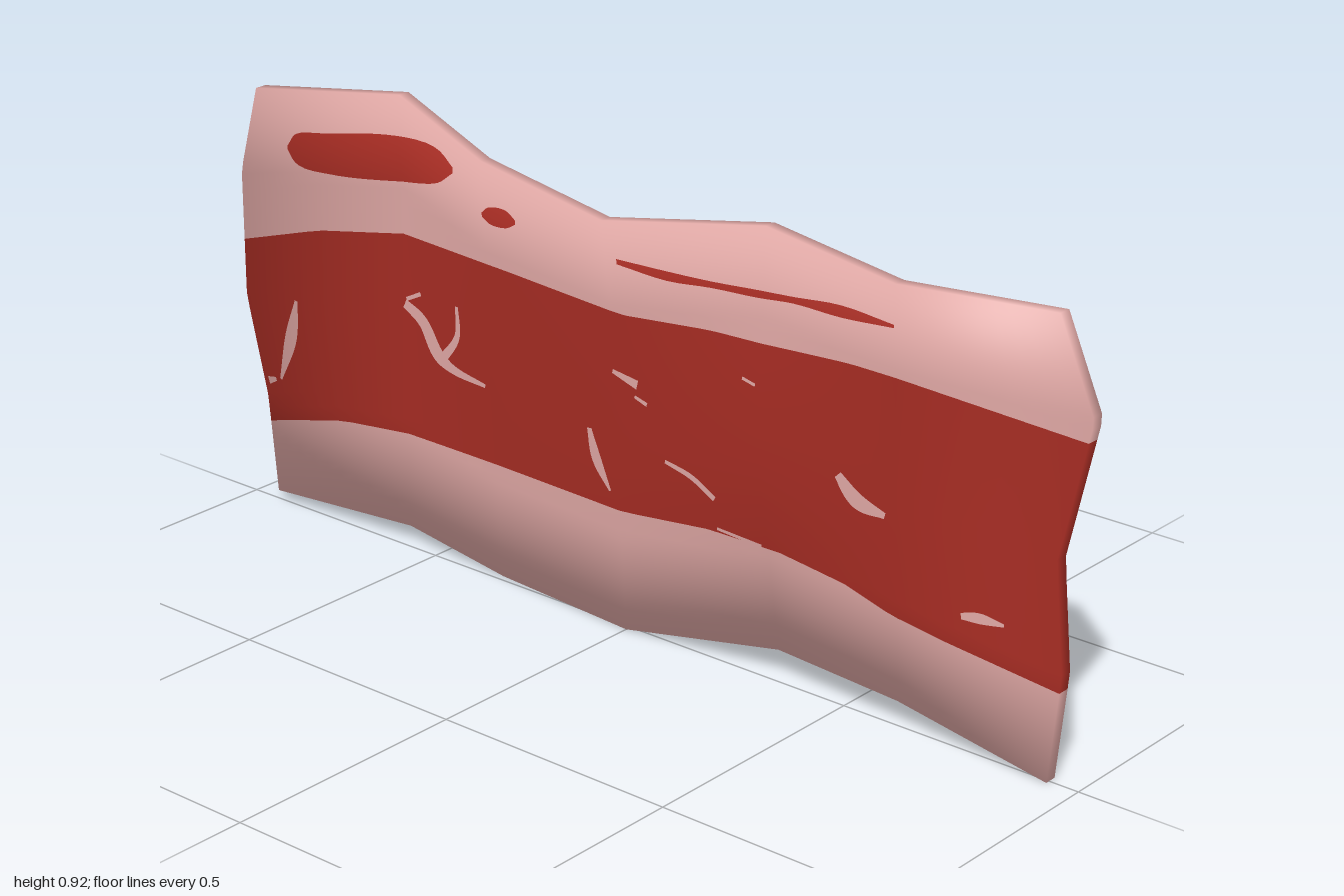
import * as THREE from 'three';
import { mergeGeometries } from 'three/addons/utils/BufferGeometryUtils.js';

// Control columns (left to right) and rows (bottom to top) of the wavy slice
const TOP = [[-0.95, 0.86], [-0.58, 0.915], [-0.36, 0.835], [-0.04, 0.8], [0.31, 0.86], [0.59, 0.82], [0.94, 0.86]];
const BOTTOM = [[-0.93, 0.02], [-0.58, 0.035], [-0.33, 0.003], [0, 0], [0.34, 0.055], [0.62, 0.05], [0.94, 0]];
const ROWS = [0, 0.24, 0.48, 0.79, 1];
const LEFT_X = [-0.93, -0.95, -1, -1, -0.95];
const RIGHT_X = [0.94, 0.96, 0.94, 1, 0.94];
const DEPTH = [
  [-0.008, -0.028, -0.022, 0, -0.026, -0.008, -0.004],
  [-0.008, -0.028, -0.018, 0.002, -0.002, -0.008, -0.005],
  [-0.008, -0.028, -0.012, 0.02, 0.027, -0.006, -0.005],
  [-0.008, -0.028, -0.012, 0.006, 0.002, -0.008, -0.004],
  [-0.008, -0.025, -0.01, 0.022, -0.008, -0.008, 0.02],
];
const HALF = 0.0125;
const lerp = THREE.MathUtils.lerp;

const points = ROWS.map((f, j) => TOP.map((t, i) => {
  const x = i === 0 ? LEFT_X[j] : i === 6 ? RIGHT_X[j] : lerp(BOTTOM[i][0], t[0], f);
  return new THREE.Vector3(x, lerp(BOTTOM[i][1], t[1], f), DEPTH[j][i]);
}));

// Soft normals that roll outward at the rim; side is +1 front, -1 back
const normalsFor = (side) => points.map((row, j) => row.map((p, i) => {
  const a = row[Math.max(i - 1, 0)], b = row[Math.min(i + 1, 6)];
  const c = points[Math.max(j - 1, 0)][i], d = points[Math.min(j + 1, 4)][i];
  const n = new THREE.Vector3(-(b.z - a.z) / (b.x - a.x), -(d.z - c.z) / (d.y - c.y), 1).normalize().multiplyScalar(side);
  n.x += i === 0 ? -1 : i === 6 ? 1 : 0;
  n.y += j === 0 ? -1 : j === 4 ? 1 : 0;
  return n.normalize();
}));
const frontNormals = normalsFor(1), backNormals = normalsFor(-1);

function bilinear(net, u, v) {
  const i = THREE.MathUtils.clamp(Math.floor(u * 6), 0, 5), j = THREE.MathUtils.clamp(Math.floor(v * 4), 0, 3);
  const a = net[j][i].clone().lerp(net[j][i + 1], u * 6 - i);
  const b = net[j + 1][i].clone().lerp(net[j + 1][i + 1], u * 6 - i);
  return a.lerp(b, v * 4 - j);
}

// Point and normal of the slice; w runs from -1 (back) to 1 (front)
function slice(u, v, w, lift = 0) {
  const p = bilinear(points, u, v);
  p.z += w * (HALF + lift);
  const n = bilinear(backNormals, u, v).lerp(bilinear(frontNormals, u, v), (w + 1) / 2).normalize();
  return { p, n };
}

// Grid surface from a function of s and t
function grid(fn, ns, nt) {
  const pos = [], nor = [], index = [];
  for (let j = 0; j <= nt; j++) for (let i = 0; i <= ns; i++) {
    const { p, n } = fn(i / ns, j / nt);
    pos.push(p.x, p.y, p.z);
    nor.push(n.x, n.y, n.z);
    if (i < ns && j < nt) {
      const a = j * (ns + 1) + i, d = a + ns + 1;
      index.push(a, a + 1, d + 1, a, d + 1, d);
    }
  }
  const g = new THREE.BufferGeometry();
  g.setAttribute('position', new THREE.Float32BufferAttribute(pos, 3));
  g.setAttribute('normal', new THREE.Float32BufferAttribute(nor, 3));
  g.setIndex(index);
  return g;
}

// Height profiles of the lean band's borders
const LEAN_LOW = [[-1, 0.15], [-0.92, 0.175], [-0.75, 0.215], [-0.58, 0.23], [-0.3, 0.235], [0, 0.24], [0.2, 0.262], [0.36, 0.26], [0.5, 0.24], [0.6, 0.21], [0.72, 0.195], [1, 0.17]];
const LEAN_HIGH = [[-1, 0.54], [-0.8, 0.6], [-0.58, 0.64], [-0.3, 0.635], [0, 0.625], [0.2, 0.645], [0.5, 0.655], [1, 0.638]];
function profile(list, x) {
  let k = 0;
  while (k < list.length - 2 && x > list[k + 1][0]) k++;
  const [a, b] = [list[k], list[k + 1]];
  return lerp(a[1], b[1], (x - a[0]) / (b[0] - a[0]));
}
function border(list) {
  return (u) => {
    let v = 0.5;
    for (let k = 0; k < 12; k++) {
      const p = bilinear(points, u, v);
      v += (profile(list, p.x) - p.y) / 0.9;
    }
    return v;
  };
}

// One lengthwise band: front, back, both ends and any outer rim
function band(low, high, rims) {
  const at = (u, t, w) => slice(u, lerp(low(u), high(u), t), w);
  const parts = [
    grid((s, t) => at(s, t, 1), 60, 12),
    grid((s, t) => at(1 - s, t, -1), 60, 12),
    grid((s, t) => at(1, t, 1 - 2 * s), 1, 12),
    grid((s, t) => at(0, t, 2 * s - 1), 1, 12),
  ];
  if (rims === 'top') parts.push(grid((s, t) => at(s, 1, 1 - 2 * t), 60, 1));
  if (rims === 'bottom') parts.push(grid((s, t) => at(s, 0, 2 * t - 1), 60, 1));
  return mergeGeometries(parts);
}

function locate(x, y) {
  let u = 0.5, v = 0.5;
  for (let k = 0; k < 16; k++) {
    const p = bilinear(points, u, v);
    u += (x - p.x) / 2.1;
    v += (y - p.y) / 0.95;
  }
  return [u, v];
}

// Painted streak on both faces; each spine point is [x, y, half width]
function streak(spine) {
  const curve = new THREE.CatmullRomCurve3(spine.map(([x, y, w]) => new THREE.Vector3(x, y, w)));
  const on = (s, t, w) => {
    const c = curve.getPoint(s), d = curve.getTangent(s);
    const len = Math.hypot(d.x, d.y) || 1, o = (2 * t - 1) * Math.max(c.z, 0.001);
    return slice(...locate(c.x - d.y / len * o, c.y + d.x / len * o), w, 0.0015);
  };
  return mergeGeometries([
    grid((s, t) => on(s, t, 1), 24, 4),
    grid((s, t) => on(1 - s, t, -1), 24, 4),
  ]);
}

const LEAN_ISLANDS = [
  [[-0.872, 0.755, 0.004], [-0.85, 0.755, 0.03], [-0.76, 0.763, 0.041], [-0.6, 0.787, 0.045], [-0.48, 0.8, 0.034], [-0.437, 0.8, 0.006]],
  [[-0.36, 0.732, 0.004], [-0.34, 0.734, 0.016], [-0.295, 0.738, 0.017], [-0.27, 0.738, 0.004]],
  [[-0.01, 0.727, 0.005], [0.1, 0.724, 0.009], [0.2, 0.73, 0.006], [0.3, 0.736, 0.007], [0.38, 0.742, 0.006], [0.48, 0.745, 0.011], [0.59, 0.744, 0.003]],
];
const FAT_MARBLING = [
  [[-0.865, 0.44, 0.004], [-0.882, 0.36, 0.015], [-0.912, 0.265, 0.003]],
  [[-0.58, 0.5, 0.01], [-0.53, 0.475, 0.014], [-0.49, 0.42, 0.016], [-0.45, 0.4, 0.01], [-0.36, 0.39, 0.004]],
  [[-0.435, 0.53, 0.004], [-0.435, 0.47, 0.007], [-0.48, 0.41, 0.01]],
  [[-0.575, 0.51, 0.004], [-0.535, 0.53, 0.004]],
  [[-0.075, 0.39, 0.006], [-0.06, 0.33, 0.013], [-0.03, 0.275, 0.003]],
  [[0.11, 0.375, 0.004], [0.17, 0.36, 0.006], [0.22, 0.33, 0.006]],
  [[0.49, 0.45, 0.008], [0.53, 0.41, 0.016], [0.585, 0.395, 0.006]],
  [[-0.02, 0.515, 0.004], [0.04, 0.503, 0.009]],
  [[0.035, 0.48, 0.003], [0.065, 0.472, 0.004]],
  [[0.22, 0.27, 0.003], [0.32, 0.262, 0.004]],
  [[0.75, 0.255, 0.006], [0.79, 0.262, 0.01], [0.84, 0.264, 0.003]],
  [[-0.945, 0.255, 0.008], [-0.925, 0.262, 0.004]],
  [[0.28, 0.578, 0.003], [0.31, 0.572, 0.003]],
];

export function createModel() {
  const fat = new THREE.MeshStandardMaterial({ color: 0xe0a8a5 });
  fat.name = 'pinkFat';
  const lean = new THREE.MeshStandardMaterial({ color: 0xa62c23 });
  lean.name = 'redLean';

  const group = new THREE.Group();
  group.name = 'baconSlice';
  const add = (name, geometry, material) => {
    const mesh = new THREE.Mesh(geometry, material);
    mesh.name = name;
    group.add(mesh);
  };
  const low = border(LEAN_LOW), high = border(LEAN_HIGH);

  // Three lengthwise bands
  add('lowerFat', band(() => 0, low, 'bottom'), fat);
  add('leanBand', band(low, high), lean);
  add('upperFat', band(high, () => 1, 'top'), fat);

  // Painted streaks
  LEAN_ISLANDS.forEach((s, i) => add(`leanIsland${i + 1}`, streak(s), lean));
  FAT_MARBLING.forEach((s, i) => add(`fatMarbling${i + 1}`, streak(s), fat));
  return group;
}
